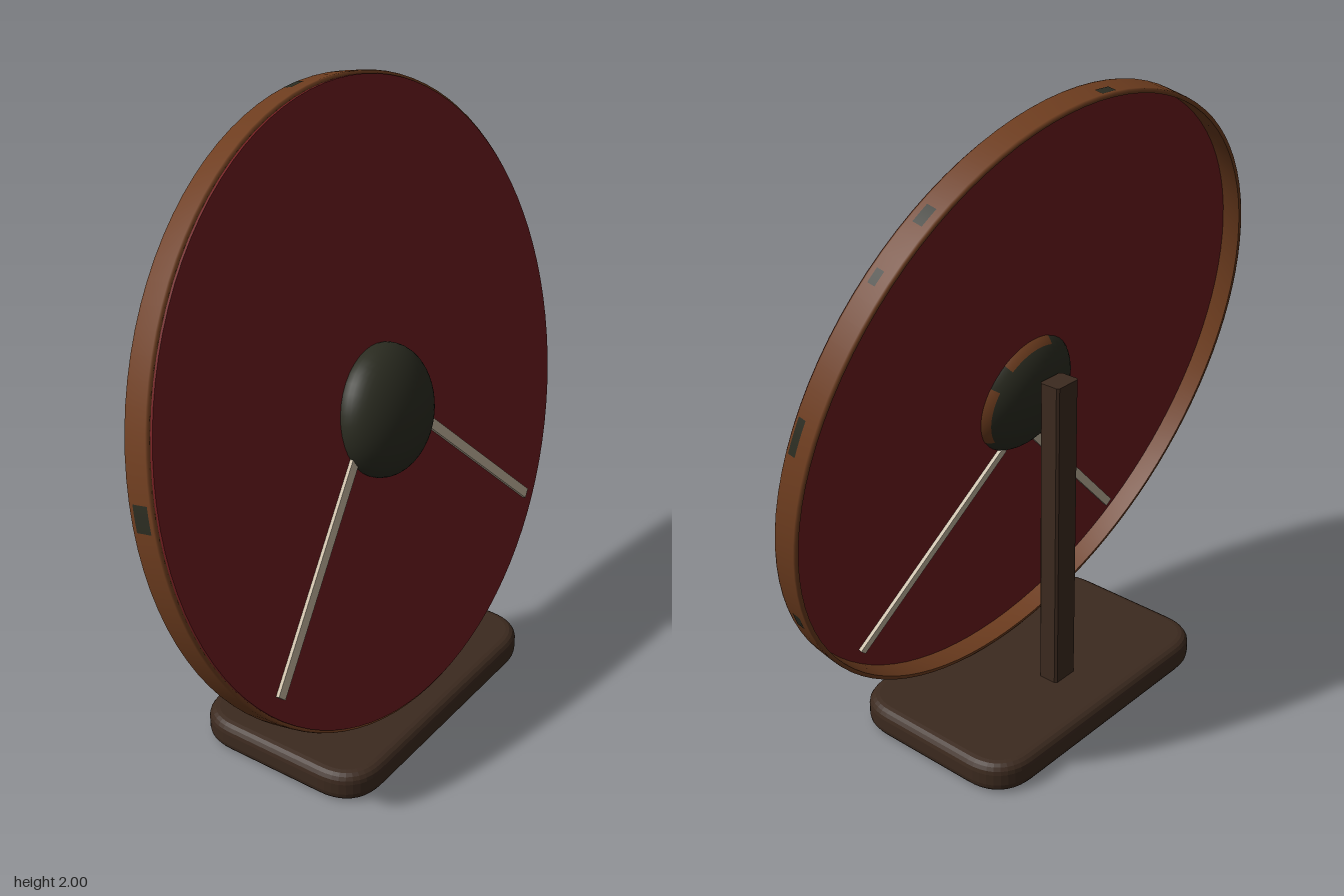
import * as THREE from 'three';

const mat = (name, color) => {
  const m = new THREE.MeshStandardMaterial({ color });
  m.name = name;
  return m;
};

export function createModel() {
  const red = mat('redPaint', 0x6f1c1f);
  const rust = mat('rustBrown', 0x6e3d1f);
  const iron = mat('darkIron', 0x2b2c21);
  const wood = mat('darkWood', 0x3c2a1f);
  const bone = mat('paleBone', 0xc6b8a1);

  const model = new THREE.Group();
  const add = (parent, name, geometry, material) => {
    const mesh = new THREE.Mesh(geometry, material);
    mesh.name = name;
    parent.add(mesh);
    return mesh;
  };

  // Base: rounded slab with softened edges
  const bevel = 0.032, w = 0.5 - bevel, d = 0.31 - bevel, r = 0.11;
  const plan = new THREE.Shape();
  plan.moveTo(-w + r, -d);
  plan.lineTo(w - r, -d).quadraticCurveTo(w, -d, w, -d + r);
  plan.lineTo(w, d - r).quadraticCurveTo(w, d, w - r, d);
  plan.lineTo(-w + r, d).quadraticCurveTo(-w, d, -w, d - r);
  plan.lineTo(-w, -d + r).quadraticCurveTo(-w, -d, -w + r, -d);
  const slab = new THREE.ExtrudeGeometry(plan, {
    depth: 0.1 - 2 * bevel, bevelSize: bevel, bevelThickness: bevel, bevelSegments: 4, curveSegments: 10,
  });
  slab.rotateX(-Math.PI / 2).translate(0, bevel, 0);
  add(model, 'base', slab, wood);

  // Post: bar with small chamfers
  const hx = 0.047, hz = 0.035, c = 0.007;
  const section = new THREE.Shape([[-hx + c, -hz], [hx - c, -hz], [hx, -hz + c], [hx, hz - c],
    [hx - c, hz], [-hx + c, hz], [-hx, hz - c], [-hx, -hz + c]].map(([x, y]) => new THREE.Vector2(x, y)));
  const post = new THREE.ExtrudeGeometry(section, { depth: 1.035, bevelEnabled: false });
  post.rotateX(-Math.PI / 2).translate(0, 0.09, -0.1);
  add(model, 'post', post, wood);

  // Tilted shield
  const shield = new THREE.Group();
  shield.name = 'shield';
  shield.position.set(0, 1.052, 0.008);
  shield.rotation.x = -0.205;
  model.add(shield);

  const face = new THREE.CylinderGeometry(0.951, 0.951, 0.024, 96);
  face.rotateX(Math.PI / 2).translate(0, 0, 0.03);
  add(shield, 'face', face, red);

  // Rim: thin hoop, deeper than the face
  const lathe = (pts, segments, start, length) => new THREE.LatheGeometry(
    pts.map(([x, y]) => new THREE.Vector2(x, y)), segments, start, length).rotateX(Math.PI / 2);
  add(shield, 'rim', lathe([[0.949, -0.044], [0.955, -0.046], [0.961, -0.044], [0.962, -0.038],
    [0.962, 0.028], [0.96, 0.034], [0.949, 0.035], [0.949, -0.044]], 96), rust);

  // Worn dark spots on the rim: angle, arc length, z from, z to
  for (const [angle, arc, z0, z1] of [[0.92, 0.06, -0.02, 0.012], [0.72, 0.045, -0.01, 0.015],
    [0.25, 0.11, 0.0, 0.024], [-0.42, 0.06, -0.02, 0.008], [1.62, 0.06, -0.036, -0.01],
    [3.05, 0.08, -0.03, 0.02], [4.3, 0.07, -0.024, 0.01]]) {
    const spot = lathe([[0.9632, z0], [0.9632, z1]], 6, angle + Math.PI / 2 - arc / 2, arc);
    add(shield, 'rimSpot', spot, iron);
  }

  // Boss: flattened dome passing through the face
  const dome = (size, ...arcs) => new THREE.SphereGeometry(size, 40, 28, ...arcs)
    .rotateX(Math.PI / 2).scale(1, 1, 0.575).translate(0, -0.012, 0.05);
  add(shield, 'boss', dome(0.2), iron);

  // Rusty patches around the back of the boss
  for (const [start, length] of [[2.5, 1.1], [4.0, 1.0], [5.9, 1.1]]) {
    add(shield, 'bossPatch', dome(0.201, start, length, 1.8, 0.28), rust);
  }

  // Mirrored diagonal bars: one pair on the front, a lower pair on the back
  for (const [name, x, y, z, width] of [['frontBar', 0.41, -0.34, 0.042, 0.032],
    ['backBar', 0.325, -0.44, 0.018, 0.028]]) {
    for (const side of [-1, 1]) {
      const bar = add(shield, name, new THREE.BoxGeometry(0.73, width, 0.022), bone);
      bar.position.set(side * x, y, z);
      bar.rotation.z = -side * Math.PI / 4;
    }
  }
  return model;
}
